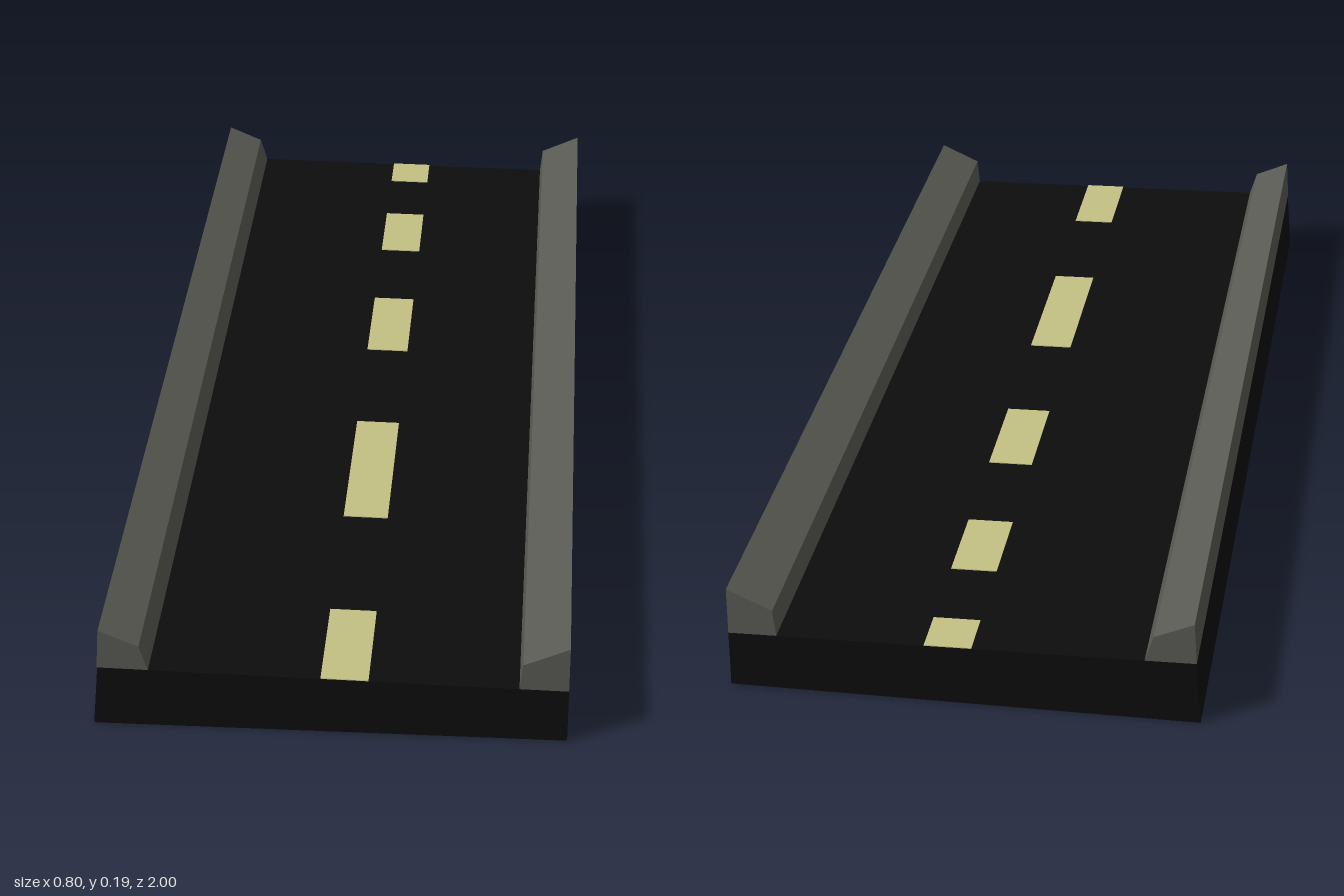
import * as THREE from 'three';

const LENGTH = 2;

// Sweeps an x/y cross-section along z between two positions
function sweep(name, profile, color, z0 = -LENGTH / 2, z1 = LENGTH / 2) {
  const shape = new THREE.Shape(profile.map(([x, y]) => new THREE.Vector2(x, y)));
  const geometry = new THREE.ExtrudeGeometry(shape, { depth: z1 - z0, bevelEnabled: false });
  geometry.translate(0, 0, z0);
  const material = new THREE.MeshStandardMaterial({ color, flatShading: true });
  const mesh = new THREE.Mesh(geometry, material);
  mesh.name = name;
  return mesh;
}

// Height of the slightly tilted road surface
const surfaceY = (x) => 0.113 - 0.014 * (x + 0.388);

export function createModel() {
  const road = new THREE.Group();
  road.name = 'roadSegment';

  // Asphalt slab, skewed a little on the right-hand side
  road.add(sweep('asphalt', [
    [-0.398, 0], [0.397, 0.002], [0.397, surfaceY(0.397)], [-0.388, surfaceY(-0.388)],
  ], 0x0d0d0d));

  // Sloped kerbs along both edges
  road.add(sweep('rightKerb', [
    [-0.389, surfaceY(-0.389)], [-0.303, surfaceY(-0.303)], [-0.317, 0.158], [-0.384, 0.187],
  ], 0x5a5a54));
  road.add(sweep('leftKerb', [
    [0.315, surfaceY(0.315)], [0.397, surfaceY(0.397)], [0.397, 0.186], [0.32, 0.151],
  ], 0x5a5a54));

  // Hand-painted centre line: dashes of uneven length
  const centreLine = new THREE.Group();
  centreLine.name = 'centreLine';
  const [x0, x1, lift] = [-0.015, 0.065, 0.0015];
  const dashes = [[-1, -0.91], [-0.745, -0.57], [-0.35, -0.13], [0.155, 0.495], [0.795, 1]];
  dashes.forEach(([z0, z1], i) => {
    centreLine.add(sweep(`dash${i + 1}`, [
      [x0, surfaceY(x0)], [x1, surfaceY(x1)], [x1, surfaceY(x1) + lift], [x0, surfaceY(x0) + lift],
    ], 0xc4c184, z0, z1));
  });
  road.add(centreLine);

  return road;
}
